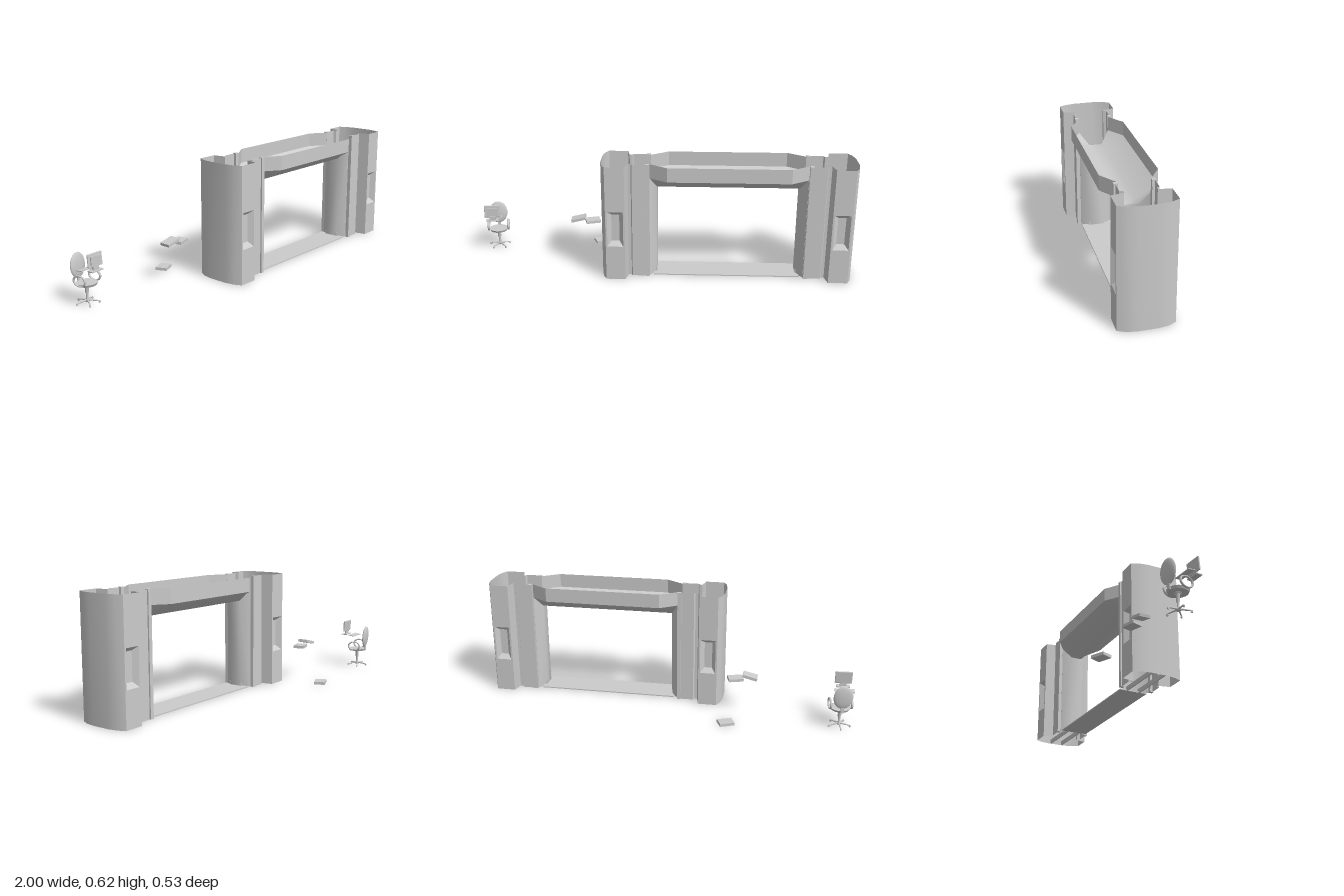
import * as THREE from 'three';
import { RoundedBoxGeometry } from 'three/addons/geometries/RoundedBoxGeometry.js';

const grey = new THREE.MeshStandardMaterial({ color: 0xcccccc, side: THREE.DoubleSide });
const CX = 0.345, CZ = 0.1275, TOP = 0.615;

// Skin between successive rows of [x, y, z] points
function loft(rows, smooth) {
  const n = rows[0].length, index = [];
  for (let r = 0; r < rows.length - 1; r++)
    for (let i = 0; i < n - 1; i++) {
      const a = r * n + i, b = a + n;
      index.push(a, a + 1, b, a + 1, b + 1, b);
    }
  let g = new THREE.BufferGeometry();
  g.setAttribute('position', new THREE.Float32BufferAttribute(rows.flat(2), 3));
  g.setIndex(index);
  if (!smooth) g = g.toNonIndexed();
  g.computeVertexNormals();
  return g;
}

function add(parent, name, geometry, x = 0, y = 0, z = 0) {
  const m = new THREE.Mesh(geometry, grey);
  m.name = name;
  m.position.set(x, y, z);
  parent.add(m);
  return m;
}

// Upright wall over a plan of [x, z] points; top may be a number per point
const wall = (plan, bottom, top, smooth) => loft([
  plan.map(([x, z]) => [x, bottom, z]),
  plan.map(([x, z], i) => [x, Array.isArray(top) ? top[i] : top, z])], smooth);

function buildPier(s) {
  const pier = new THREE.Group();
  pier.name = s > 0 ? 'leftPier' : 'rightPier';
  const at = (t) => ([d, w]) => [CX + s * d, CZ + t * w];

  // Bowed outer side and splayed jamb
  add(pier, 'outerSide', wall([[0.625, 0.1375], [0.643, 0.1], [0.652, 0.05],
    [0.652, -0.05], [0.643, -0.1], [0.625, -0.1375]].map(at(1)), 0, TOP, true));
  add(pier, 'jamb', wall([[0.401, 0.0775], [0.364, 0.032], [0.364, -0.032],
    [0.401, -0.0775]].map(at(1)), 0, [0.54, 0.48, 0.48, 0.54], true));

  for (const t of [1, -1]) {
    // Stepped return between the panel and the opening
    add(pier, 'steppedReturn', wall([[0.525, 0.1375], [0.512, 0.075], [0.497, 0.075],
      [0.491, 0.09], [0.423, 0.09], [0.423, 0.0775], [0.401, 0.0775]].map(at(t)), 0, TOP));
    add(pier, 'rib', new THREE.BoxGeometry(0.02, 0.617, 0.02), CX + s * 0.412, 0.3085, CZ + t * 0.087);

    // Panel with a splayed niche
    const ring = (d0, d1, y0, y1, w) =>
      [[d0, y0], [d1, y0], [d1, y1], [d0, y1], [d0, y0]].map(([d, y]) => [CX + s * d, y, CZ + t * w]);
    add(pier, 'nichePanel', loft([ring(0.525, 0.625, 0, TOP, 0.1375),
      ring(0.534, 0.616, 0.185, 0.375, 0.1375), ring(0.555, 0.596, 0.21, 0.355, 0.113),
      ring(0.575, 0.575, 0.28, 0.28, 0.113)]));

    // Low runner under the hollow pier
    add(pier, 'runner', new THREE.BoxGeometry(0.286, 0.025, 0.006), CX + s * 0.507, 0.0125, CZ + t * 0.036);
  }
  return pier;
}

function buildHeader() {
  const header = new THREE.Group();
  header.name = 'header';
  const edge = (t) => [[-0.401, 0.0775], [-0.31, 0.1375], [0.31, 0.1375], [0.401, 0.0775]]
    .map(([d, w]) => [CX + d, CZ + t * w]);
  const inner = (t) => [-0.364, -0.31, 0.31, 0.364].map((d) => [CX + d, 0.48, CZ + t * 0.032]);
  const raise = (p) => p.map(([x, z]) => [x, 0.54, z]);
  for (const t of [1, -1]) add(header, 'fascia', wall(edge(t), 0.54, TOP));
  // Soffit dipping towards the middle of the opening
  add(header, 'soffit', loft([raise(edge(1)), inner(1), inner(-1), raise(edge(-1))], true));
  return header;
}

function buildChair() {
  const chair = new THREE.Group();
  chair.name = 'chair';

  // Star base with casters
  for (let i = 0; i < 5; i++) {
    const leg = new THREE.Group();
    leg.name = 'baseLeg';
    leg.rotation.y = (i * Math.PI * 2) / 5 + 0.3;
    const arm = add(leg, 'spoke', new THREE.CylinderGeometry(0.003, 0.005, 0.056, 8), 0.03, 0.014, 0);
    arm.rotation.z = -Math.PI / 2 - 0.14;
    add(leg, 'caster', new THREE.CylinderGeometry(0.006, 0.006, 0.006, 12).rotateX(Math.PI / 2), 0.056, 0.006, 0);
    chair.add(leg);
  }
  const post = [[0, 0.008], [0.011, 0.01], [0.01, 0.02], [0.006, 0.024], [0.006, 0.05],
    [0.009, 0.055], [0.009, 0.088], [0.017, 0.091], [0.017, 0.097]].map(([r, y]) => new THREE.Vector2(r, y));
  add(chair, 'post', new THREE.LatheGeometry(post, 16));

  // Seat and oval back
  const seat = new THREE.CylinderGeometry(0.052, 0.046, 0.012, 28);
  add(chair, 'seat', seat, 0, 0.101, 0.002);
  const back = add(chair, 'backrest', new THREE.SphereGeometry(1, 24, 16).scale(0.05, 0.063, 0.012), 0, 0.183, -0.051);
  back.rotation.x = -0.06;
  add(chair, 'backBracket', new THREE.BoxGeometry(0.016, 0.045, 0.008), 0, 0.118, -0.049);

  // Looped armrests
  for (const s of [1, -1]) {
    const loop = new THREE.TorusGeometry(0.03, 0.0045, 8, 28).scale(1.15, 0.86, 1.3).rotateY(Math.PI / 2);
    add(chair, 'armrest', loop, s * 0.054, 0.127, 0.004);
  }
  chair.position.set(-0.935, 0, -0.14);
  chair.rotation.y = 0.18;
  return chair;
}

function buildComputer() {
  const computer = new THREE.Group();
  computer.name = 'computer';
  const screen = add(computer, 'screen', new RoundedBoxGeometry(0.088, 0.066, 0.008, 2, 0.003), 0, 0.239, 0);
  screen.rotation.x = -0.08;
  add(computer, 'screenBack', new THREE.BoxGeometry(0.06, 0.044, 0.008), 0, 0.237, 0.006);
  add(computer, 'screenStand', new THREE.BoxGeometry(0.034, 0.024, 0.008), 0, 0.2, 0.004);
  add(computer, 'screenFoot', new THREE.BoxGeometry(0.07, 0.005, 0.032), 0, 0.188, 0.004);
  const keys = add(computer, 'keyboard', new THREE.BoxGeometry(0.1, 0.004, 0.035), -0.004, 0.186, -0.05);
  keys.rotation.x = -0.12;
  computer.position.set(-0.945, 0, -0.06);
  computer.rotation.y = 0.06;
  return computer;
}

export function createModel() {
  const model = new THREE.Group();
  model.name = 'portalAndDesk';
  model.add(buildPier(1), buildPier(-1), buildHeader());
  add(model, 'sill', new THREE.BoxGeometry(0.76, 0.006, 0.155), CX, 0.003, CZ);
  model.add(buildChair(), buildComputer());

  // Loose books: x, y, z, turn, tilt
  for (const [x, y, z, turn, tilt] of [
    [-0.463, 0.207, -0.057, 0, 0.24], [-0.386, 0.192, -0.067, 0.3, 0], [-0.356, 0.0065, -0.22, 0.42, 0]]) {
    const book = add(model, 'book', new THREE.BoxGeometry(0.078, 0.015, 0.06), x, y + 0.001, z);
    book.rotation.set(0, turn, tilt);
  }
  return model;
}
